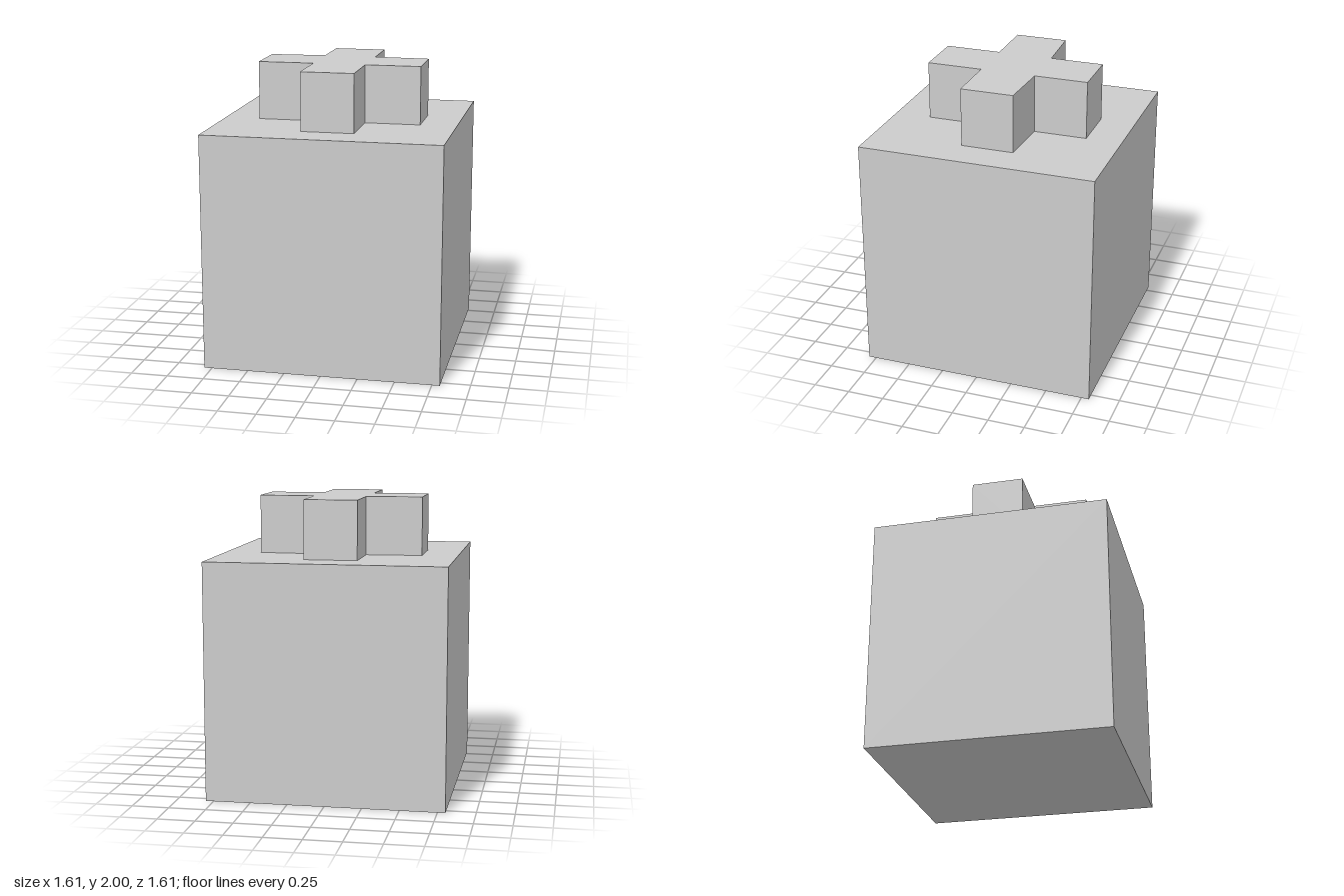
import * as THREE from 'three';

const BODY = 1.605; // edge of the cube
const TOP = 2;

export function createModel() {
  const group = new THREE.Group();
  const material = new THREE.MeshStandardMaterial({ color: 0xcccccc, flatShading: true });

  // Cube body
  const body = new THREE.Mesh(new THREE.BoxGeometry(BODY, BODY, BODY), material);
  body.name = 'body';
  body.position.y = BODY / 2;
  group.add(body);

  // Cross outline as (x, -z); the back edges of the side arms slope slightly
  const outline = [
    [-0.18, -0.555], [0.177, -0.555], [0.177, -0.177], [0.555, -0.177],
    [0.555, 0.18], [0.177, 0.198], [0.177, 0.56], [-0.18, 0.56],
    [-0.18, 0.198], [-0.56, 0.18], [-0.56, -0.177], [-0.18, -0.177],
  ];
  const shape = new THREE.Shape(outline.map(([x, y]) => new THREE.Vector2(x, y)));

  // Raised cross on top of the body
  const crossGeometry = new THREE.ExtrudeGeometry(shape, { depth: TOP - BODY, bevelEnabled: false });
  crossGeometry.rotateX(-Math.PI / 2);
  const cross = new THREE.Mesh(crossGeometry, material);
  cross.name = 'raisedCross';
  cross.position.y = BODY;
  group.add(cross);

  return group;
}
